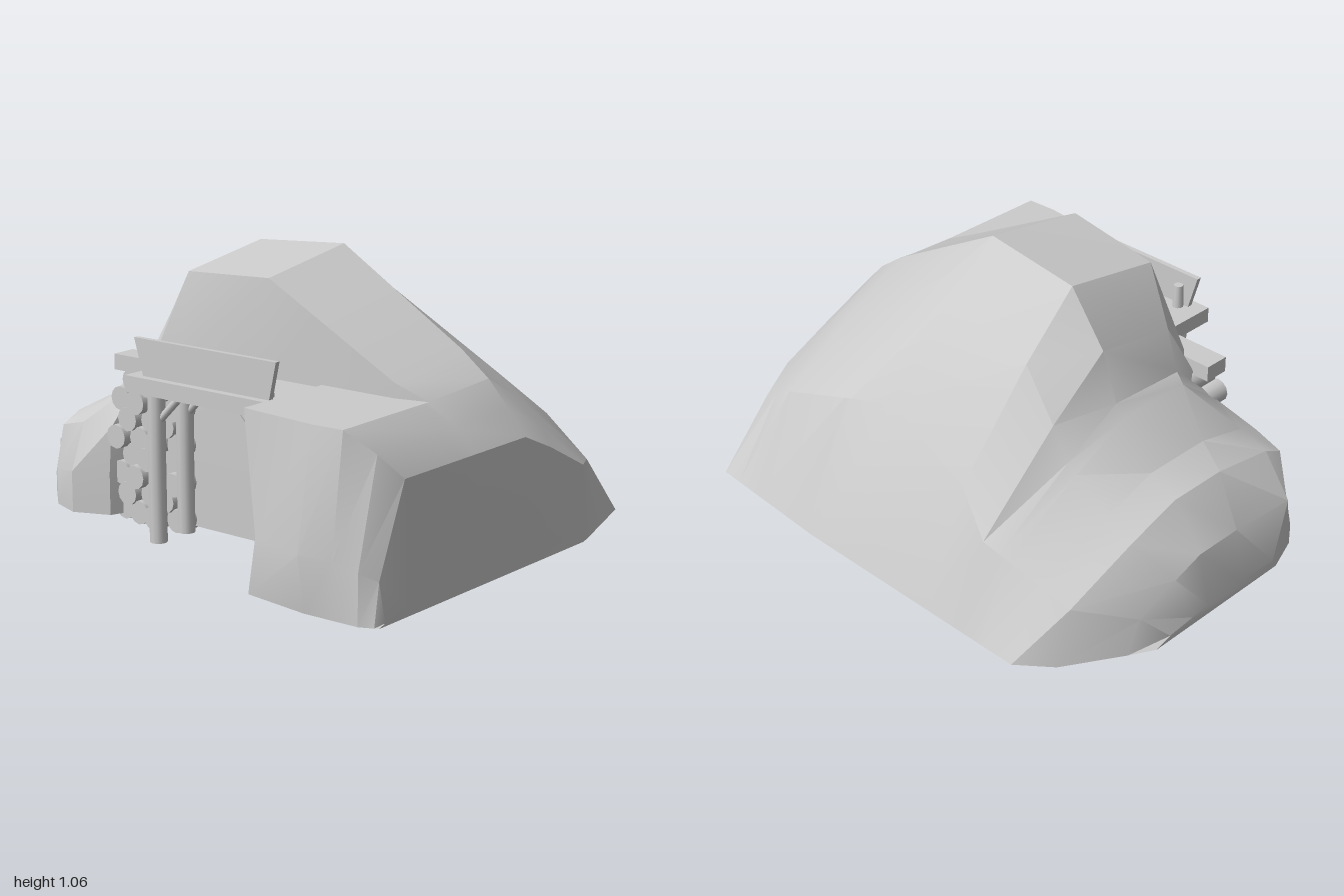
import * as THREE from 'three';
import { toCreasedNormals } from 'three/addons/utils/BufferGeometryUtils.js';

const { lerp, clamp } = THREE.MathUtils;
const material = new THREE.MeshStandardMaterial({ color: 0xcccccc, side: THREE.DoubleSide });

// Value at x on a line through a few [x, value] points
function rail(points, x) {
  const i = Math.max(1, points.findIndex(p => p[0] >= x));
  const [x0, v0] = points[i - 1], [x1, v1] = points[i];
  return lerp(v0, v1, (x - x0) / (x1 - x0));
}

// Guide lines of the mound, from left end to right end along x
const wingStart = 0.37;
const stations = [-1, -0.95, -0.82, -0.7, -0.56, -0.52, -0.45, -0.29, 0.13, 0.34, wingStart, 0.68, 0.8, 0.89, 0.975, 1];
const ridgeHeight = [[-1, 0.06], [-0.95, 0.25], [-0.82, 0.41], [-0.7, 0.46], [-0.52, 0.66], [-0.45, 0.84],
  [-0.29, 1.03], [0.13, 1.06], [0.71, 0.73], [0.8, 0.66], [0.975, 0.48], [1, 0.06]];
const brow = [[-1, 0], [-0.7, 0.12], [-0.45, 0.2], [-0.29, 0.28], [0.13, 0.33], [0.71, 0.335], [0.975, 0.25], [1, 0.2]];
const frontFoot = [[-1, 0.2], [-0.95, 0.34], [-0.82, 0.46], [-0.7, 0.5], [-0.56, 0.44], [-0.52, 0.34],
  [0.34, 0.34], [wingStart, 0.79], [0.68, 0.82], [0.89, 0.81], [1, 0.78]];
const topInset = [[-1, 0.02], [-0.82, 0.04], [-0.7, 0.07], [-0.52, 0], [0.34, 0], [wingStart, 0.04], [0.8, 0.04], [0.975, 0.15], [1, 0.14]];
const bulge = [[-1, 0], [wingStart, 0], [0.68, 0.035], [0.89, 0], [1, -0.03]];
const haunchHeight = [[-1, 0.04], [-0.95, 0.14], [-0.82, 0.23], [-0.45, 0.34], [-0.29, 0.46], [0.13, 0.58],
  [0.65, 0.42], [0.89, 0.27], [0.975, 0.3], [1, 0.05]];
const haunch = [[-1, -0.38], [-0.95, -0.48], [-0.82, -0.69], [-0.45, -0.73], [-0.29, -0.67], [0.13, -0.61],
  [0.65, -0.65], [0.89, -0.59], [0.975, -0.42], [1, -0.35]];
const backFoot = [[-1, -0.45], [-0.95, -0.54], [-0.76, -0.85], [0.34, -0.85], [0.89, -0.82], [0.975, -0.5], [1, -0.4]];

// One cross-section of the mound, from the front foot over the ridge to the back foot
function moundSection(x) {
  const ridge = rail(ridgeHeight, x), foot = rail(frontFoot, x);
  const ridgeZ = 0.07 * x - 0.11, haunchY = rail(haunchHeight, x), haunchZ = rail(haunch, x);
  const browY = ridge > 0.645 ? Math.max(0.645, 0.935 * ridge) : ridge;
  const terraceY = Math.min(ridge, 0.645);
  const topY = x < wingStart ? Math.min(0.8 * terraceY, 0.36) : terraceY;
  const topZ = foot - rail(topInset, x);
  const undercut = x === wingStart ? 0.08 : 0;
  const points = [
    [x + 0.6 * undercut, 0.02, foot],
    [x + undercut, Math.max(0.03, (x < wingStart ? 0.5 : 0.35) * topY), foot + rail(bulge, x)],
    [x, topY, topZ],
    [x, x < -0.4 ? lerp(topY, browY, 0.5) : terraceY, Math.min(topZ, 0.335)],
    [x, browY, rail(brow, x)],
    [x, ridge, ridgeZ],
    [x, lerp(ridge, haunchY, 0.38), lerp(ridgeZ, haunchZ, 0.42)],
    [x, haunchY, haunchZ],
    [x, 0.02, rail(backFoot, x)],
  ];
  // The right flank narrows a little towards the front
  const flank = Math.max(0, (x - 0.89) / 0.11);
  return points.map(([px, y, z]) => [px - 0.04 * flank * clamp(z + 0.4, 0, 1.2), y, z]);
}

function moundGeometry() {
  const sections = stations.map(moundSection);
  const n = sections[0].length, last = (sections.length - 1) * n;
  const index = [];
  for (let a0 = 0; a0 < last; a0 += n)
    for (let j = 0; j < n; j++) {
      const a = a0 + j, b = a0 + (j + 1) % n, c = a + n, d = b + n;
      index.push(a, c, d, a, d, b);
    }
  // End caps
  for (let j = 1; j < n - 1; j++) index.push(0, j, j + 1, last, last + j + 1, last + j);
  const g = new THREE.BufferGeometry();
  g.setAttribute('position', new THREE.Float32BufferAttribute(sections.flat(2), 3));
  g.setIndex(index);
  return toCreasedNormals(g, 0.42);
}

export function createModel() {
  const model = new THREE.Group();
  const add = (name, geometry, x = 0, y = 0, z = 0) => {
    const mesh = new THREE.Mesh(geometry, material);
    mesh.name = name;
    mesh.position.set(x, y, z);
    model.add(mesh);
    return mesh;
  };
  // Round timber following a few points, with closed ends
  const timber = (name, radius, points) => {
    const path = points.map(p => new THREE.Vector3(...p));
    add(name, new THREE.TubeGeometry(new THREE.CatmullRomCurve3(path), 8, radius, 10));
    for (const end of [path[0], path[path.length - 1]]) {
      const cap = add(name + 'End', new THREE.CircleGeometry(radius, 10), end.x, end.y, end.z);
      cap.rotation.x = -Math.PI / 2;
    }
  };

  add('mound', moundGeometry());

  // Flat porch roof and the lintel over the log stack
  add('porchRoof', new THREE.BoxGeometry(0.66, 0.06, 0.29), 0.035, 0.605, 0.475);
  add('logLintel', new THREE.BoxGeometry(0.29, 0.06, 0.1), -0.425, 0.605, 0.34);

  // Porch posts with corner braces
  for (const z of [0.56, 0.41]) {
    timber('leftPost', 0.033, [[-0.2, 0.02, z], [-0.202, 0.3, z], [-0.2, 0.58, z]]);
    timber('rightPost', 0.032, [[0.315, 0.02, z], [0.325, 0.18, z], [0.305, 0.36, z], [0.312, 0.58, z]]);
    timber('leftBrace', 0.014, [[-0.19, 0.47, z], [-0.135, 0.525, z], [-0.08, 0.58, z]]);
    timber('rightBrace', 0.014, [[0.3, 0.47, z], [0.245, 0.525, z], [0.19, 0.58, z]]);
  }

  // Stacked logs with uneven ends
  for (let row = 0; row < 8; row++) {
    const odd = row % 2;
    for (let col = 0; col < 4 - odd; col++) {
      const front = 0.39 + 0.05 * ((row * 5 + col * 3) % 7) / 7;
      const log = add('log', new THREE.CylinderGeometry(0.046, 0.046, front - 0.24, 12),
        -0.53 + 0.091 * (col + odd / 2), 0.046 + row * 0.071, (front + 0.24) / 2);
      log.rotation.x = Math.PI / 2;
    }
  }

  // Blank board on the roof edge, held by two short stakes
  const board = new THREE.Shape([[-0.235, 0.635], [0.345, 0.635], [0.375, 0.77], [-0.275, 0.77]]
    .map(p => new THREE.Vector2(...p)));
  add('board', new THREE.ExtrudeGeometry(board, { depth: 0.02, bevelEnabled: false }), 0, 0, 0.57);
  for (const x of [-0.2, 0.31])
    add('boardStake', new THREE.CylinderGeometry(0.018, 0.022, 0.1, 10), x, 0.675, 0.552);

  return model;
}
